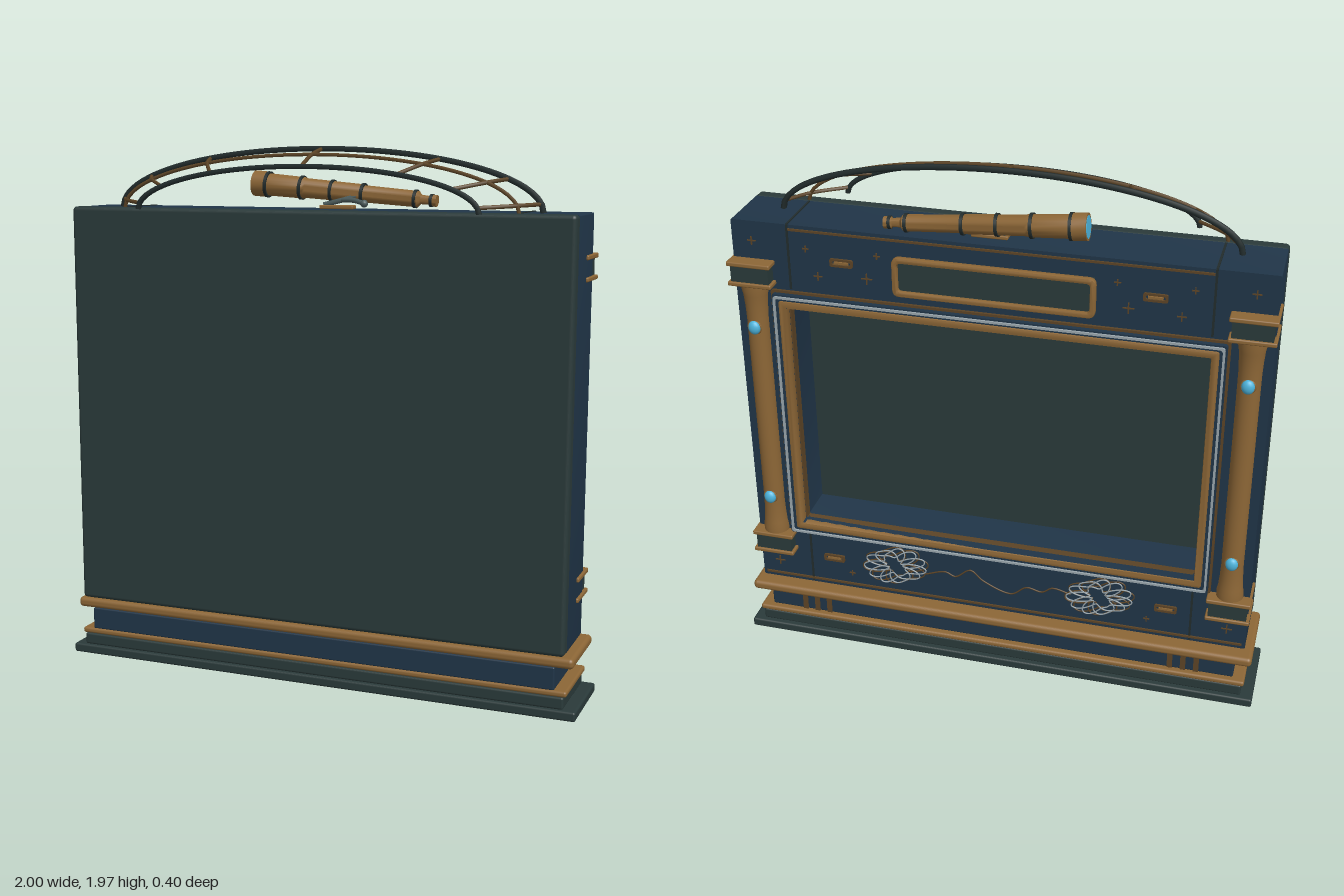
import * as THREE from 'three';
import { RoundedBoxGeometry } from 'three/addons/geometries/RoundedBoxGeometry.js';
import { toCreasedNormals } from 'three/addons/utils/BufferGeometryUtils.js';

const mat = (name, color) => {
  const m = new THREE.MeshStandardMaterial({ color });
  m.name = name;
  return m;
};

export function createModel() {
  const root = new THREE.Group();
  const navy = mat('navy panel', 0x203548);
  const green = mat('dark green', 0x2a3a3a);
  const gold = mat('aged brass', 0x8c6636);
  const bronze = mat('dark bronze', 0x5c4426);
  const iron = mat('dark iron', 0x222c2c);
  const silver = mat('silver trim', 0x9aa6ac);
  const steel = mat('grey steel', 0x4c5c5c);
  const cyan = mat('cyan glass', 0x4db4dc);

  const add = (name, geo, m, parent = root) => {
    const mesh = new THREE.Mesh(geo, m);
    mesh.name = name;
    parent.add(mesh);
    return mesh;
  };
  // box given by its min and max corners
  const box = (name, [x0, x1], [y0, y1], [z0, z1], m, r = 0, parent = root) => {
    const s = [x1 - x0, y1 - y0, z1 - z0];
    const g = r ? new RoundedBoxGeometry(...s, 3, r) : new THREE.BoxGeometry(...s);
    const mesh = add(name, g, m, parent);
    mesh.position.set((x0 + x1) / 2, (y0 + y1) / 2, (z0 + z1) / 2);
    return mesh;
  };
  const outline = (P, x, y0, y1, r) => {
    const p = new P();
    p.moveTo(-x + r, y0);
    p.lineTo(x - r, y0); p.quadraticCurveTo(x, y0, x, y0 + r);
    p.lineTo(x, y1 - r); p.quadraticCurveTo(x, y1, x - r, y1);
    p.lineTo(-x + r, y1); p.quadraticCurveTo(-x, y1, -x, y1 - r);
    p.lineTo(-x, y0 + r); p.quadraticCurveTo(-x, y0, -x + r, y0);
    return p;
  };
  // rectangular frame with an opening, running from z0 to z1
  const frame = (name, x, y0, y1, w, z0, z1, m, r = 0.005, bevel = 0) => {
    const s = outline(THREE.Shape, x - bevel, y0 + bevel, y1 - bevel, r);
    s.holes.push(outline(THREE.Path, x - w + bevel, y0 + w - bevel, y1 - w + bevel, r));
    const g = new THREE.ExtrudeGeometry(s, {
      depth: z1 - z0 - 2 * bevel, curveSegments: 5, bevelEnabled: bevel > 0,
      bevelSize: bevel, bevelThickness: bevel, bevelSegments: 2,
    });
    const mesh = add(name, toCreasedNormals(g, 0.6), m);
    mesh.position.z = z0 + bevel;
    return mesh;
  };
  const v = (x, y, z) => new THREE.Vector3(x, y, z);
  const tube = (name, pts, r, m, seg = 40, closed = false) =>
    add(name, new THREE.TubeGeometry(new THREE.CatmullRomCurve3(pts, closed), seg, r, 6, closed), m);

  // stepped base
  box('basePlate', [-1, 1], [0, 0.035], [-0.193, 0.135], green, 0.008);
  box('baseStep', [-0.955, 0.955], [0.035, 0.08], [-0.175, 0.125], green, 0.008);
  box('lowerMoulding', [-0.965, 0.965], [0.08, 0.102], [-0.18, 0.125], gold, 0.009);
  box('plinth', [-0.92, 0.92], [0.1, 0.185], [-0.155, 0.12], navy, 0.006);
  box('upperMoulding', [-0.985, 0.985], [0.182, 0.22], [-0.19, 0.12], gold, 0.015);
  box('plinthNeck', [-0.9, 0.9], [0.215, 0.232], [-0.1, 0.09], navy);
  for (const s of [-1, 1]) for (const i of [0, 1, 2]) {
    const x = s * (0.68 + i * 0.05);
    box('plinthRib', [x - 0.01, x + 0.01], [0.1, 0.183], [-0.16, -0.15], bronze);
  }

  // cabinet shell around the recess, closed by a rounded panel
  const shell = outline(THREE.Shape, 0.953, 0.23, 1.743, 0.006);
  shell.holes.push(outline(THREE.Path, 0.755, 0.53, 1.45, 0.002));
  const shellGeo = new THREE.ExtrudeGeometry(shell, { depth: 0.225, bevelEnabled: false, curveSegments: 3 });
  add('cabinetShell', toCreasedNormals(shellGeo, 0.6), navy).position.z = -0.14;
  box('closingPanel', [-0.955, 0.955], [0.228, 1.745], [0.078, 0.135], green, 0.015);
  box('recessBack', [-0.757, 0.757], [0.528, 1.452], [0.03, 0.05], green);

  // layered trim round the opening
  frame('outerTrim', 0.812, 0.478, 1.502, 0.02, -0.168, -0.158, bronze, 0.01);
  frame('frameBody', 0.803, 0.487, 1.493, 0.05, -0.186, -0.138, navy, 0.01);
  frame('silverTrim', 0.797, 0.493, 1.487, 0.008, -0.193, -0.184, silver, 0.012);
  frame('brassFrame', 0.778, 0.51, 1.47, 0.027, -0.192, -0.15, gold, 0.005, 0.006);
  frame('innerLip', 0.76, 0.525, 1.455, 0.012, -0.15, -0.12, bronze, 0.004);

  // name board, left blank
  frame('boardFrame', 0.355, 1.535, 1.68, 0.02, -0.186, -0.16, gold, 0.02, 0.006);
  box('board', [-0.343, 0.343], [1.547, 1.668], [-0.17, -0.138], green);

  // seams and edge strips of the cabinet
  for (const s of [-1, 1]) {
    const x = s * 0.745;
    const sx = [x - 0.004, x + 0.004];
    box('topSeam', sx, [1.74, 1.746], [-0.14, 0.08], iron);
    box('upperSeam', sx, [1.5, 1.744], [-0.143, -0.138], iron);
    box('lowerSeam', sx, [0.235, 0.48], [-0.143, -0.138], iron);
  }
  box('topStrip', [-0.74, 0.74], [1.722, 1.73], [-0.146, -0.138], bronze);
  box('bottomStrip', [-0.94, 0.94], [0.245, 0.253], [-0.146, -0.138], bronze);

  // columns with capitals, feet and glass studs
  const columnProfile = [[0.049, 0.46], [0.049, 0.49], [0.045, 0.51], [0.042, 0.55], [0.04, 0.6],
    [0.04, 1.38], [0.042, 1.43], [0.045, 1.47], [0.049, 1.49], [0.049, 1.52]]
    .map(([r, y]) => new THREE.Vector2(r, y));
  for (const s of [-1, 1]) {
    const col = new THREE.Group();
    col.name = s > 0 ? 'leftColumn' : 'rightColumn';
    col.position.x = s * 0.88;
    root.add(col);
    add('shaft', new THREE.LatheGeometry(columnProfile, 24), gold, col).position.z = -0.142;
    for (const y of [0.375, 1.51]) {
      const sx = s > 0 ? [-0.08, 0.082] : [-0.082, 0.08];
      box('lowerPlate', sx, [y, y + 0.016], [-0.195, -0.04], gold, 0.005, col);
      box('block', [-0.07, 0.07], [y + 0.014, y + 0.077], [-0.187, -0.1], green, 0, col);
      box('upperPlate', sx, [y + 0.075, y + 0.092], [-0.195, -0.04], gold, 0.005, col);
    }
    for (const y of [0.63, 1.35]) {
      const ring = add('studRing', new THREE.TorusGeometry(0.024, 0.004, 6, 20), gold, col);
      ring.position.set(0, y, -0.179);
      const stud = add('glassStud', new THREE.SphereGeometry(0.023, 16, 10), cyan, col);
      stud.position.set(0, y, -0.182);
      stud.scale.set(1, 1.15, 0.75);
    }
  }

  // tangled scrollwork medallions below the opening, joined by a vine
  const tangle = (cx, cy, r, k, turns, z) => Array.from({ length: 120 }, (_, i) => {
    const a = (i / 120) * Math.PI * 2;
    const q = r * (0.62 + 0.28 * Math.sin(a * k) + 0.14 * Math.sin(a * (k + 6) + 1));
    return v(cx + 1.15 * q * Math.cos(a * turns), cy + 0.85 * q * Math.sin(a * turns), z);
  });
  for (const s of [-1, 1]) {
    tube('silverScroll', tangle(s * 0.4, 0.37, 0.11, 11, 3, -0.15), 0.0026, silver, 320, true);
    tube('bronzeScroll', tangle(s * 0.4, 0.37, 0.115, 8, 3, -0.145), 0.0026, bronze, 320, true);
  }
  const vine = [[0.28, 0.35], [0.2, 0.375], [0.16, 0.36], [0.1, 0.4], [0.05, 0.36], [-0.06, 0.32],
    [-0.12, 0.36], [-0.18, 0.35], [-0.22, 0.375], [-0.29, 0.36]].map(([x, y]) => v(x, y, -0.145));
  tube('vine', vine, 0.003, bronze, 60);

  // small brass fittings and four-armed sparks
  for (const s of [-1, 1]) {
    for (const [x, y] of [[0.55, 1.62], [0.65, 0.36]]) {
      frame('fitting', 0.042, y - 0.015, y + 0.015, 0.008, -0.148, -0.138, bronze, 0.008).position.x = s * x;
      box('fittingBar', [s * x - 0.026, s * x + 0.026], [y - 0.004, y + 0.004], [-0.148, -0.138], gold);
    }
    for (const [x, y, r] of [[0.64, 1.56, 0.016], [0.46, 1.57, 0.02], [0.68, 1.66, 0.012], [0.42, 1.66, 0.012],
      [0.88, 1.67, 0.016], [0.88, 0.31, 0.02], [0.58, 0.3, 0.012]]) {
      box('sparkArm', [s * x - r, s * x + r], [y - 0.002, y + 0.002], [-0.144, -0.138], bronze);
      box('sparkArm', [s * x - 0.002, s * x + 0.002], [y - r, y + r], [-0.145, -0.138], bronze);
    }
  }

  // arched railing: three hoops joined by ribs
  const hoops = [[0.81, 0.215, 0, 0.011, iron], [0.75, 0.195, 0.095, 0.007, bronze], [0.64, 0.155, 0.195, 0.01, iron]];
  const onHoop = ([rx, ry, z], a) => v(rx * Math.cos(a), 1.743 + ry * Math.sin(a), z);
  for (const h of hoops) {
    const pts = Array.from({ length: 41 }, (_, i) => onHoop(h, (i / 40) * Math.PI));
    tube('railingHoop', pts, h[3], h[4], 64);
  }
  for (const deg of [8, 32, 57, 90, 123, 148, 172])
    tube('railingRib', hoops.map((h) => onHoop(h, deg * Math.PI / 180)), 0.007, bronze, 8);

  // telescope lying along the top
  const scope = new THREE.Group();
  scope.name = 'telescope';
  scope.position.set(-0.31, 1.832, -0.108);
  scope.rotation.z = -94.6 * Math.PI / 180;
  root.add(scope);
  const scopeProfile = [[0.036, 0.012], [0.038, 0], [0.047, 0], [0.047, 0.05], [0.041, 0.056], [0.039, 0.2],
    [0.036, 0.21], [0.034, 0.42], [0.031, 0.43], [0.029, 0.64], [0.017, 0.65], [0.015, 0.68], [0.021, 0.685],
    [0.021, 0.71], [0, 0.71]].map(([r, y]) => new THREE.Vector2(r, y));
  add('scopeBody', toCreasedNormals(new THREE.LatheGeometry(scopeProfile, 24), 0.6), gold, scope);
  for (const [y, r] of [[0.055, 0.048], [0.19, 0.044], [0.31, 0.04], [0.43, 0.038], [0.63, 0.033], [0.69, 0.023]])
    add('scopeBand', new THREE.CylinderGeometry(r, r, 0.011, 24), iron, scope).position.y = y;
  add('scopeLens', new THREE.CylinderGeometry(0.039, 0.039, 0.012, 24), cyan, scope).position.y = 0.005;

  // telescope mount
  box('mountFoot', [-0.03, 0.1], [1.743, 1.757], [-0.085, -0.045], gold, 0.004);
  tube('mountArm', [v(-0.02, 1.758, -0.07), v(0.05, 1.775, -0.075), v(0.12, 1.795, -0.09)], 0.01, steel, 8);
  tube('mountLever', [v(0.05, 1.775, -0.072), v(0.1, 1.775, -0.055), v(0.15, 1.765, -0.03)], 0.009, steel, 8);
  add('leverKnob', new THREE.SphereGeometry(0.014, 12, 8), steel).position.set(0.15, 1.765, -0.03);

  return root;
}
